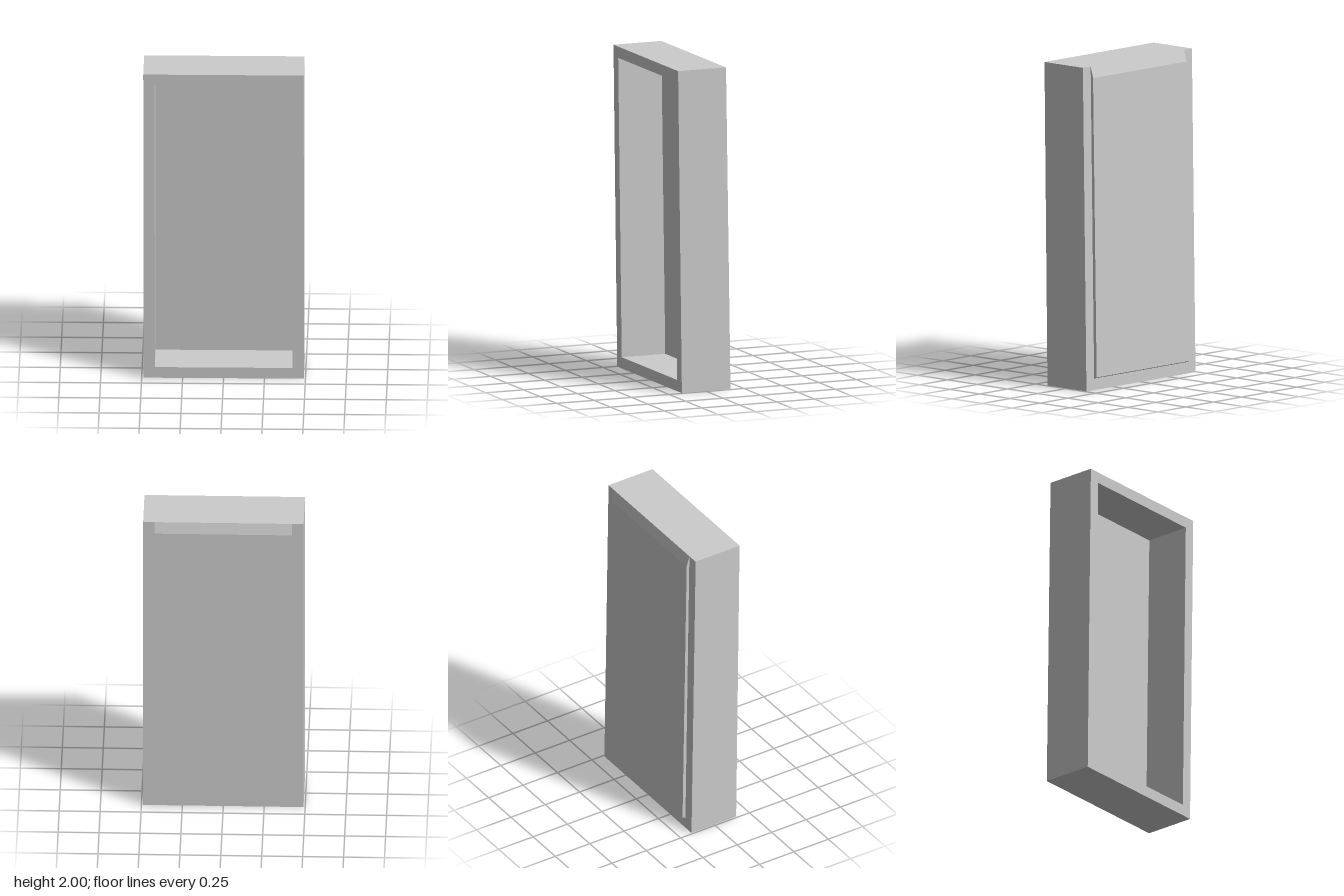
import * as THREE from 'three';

const material = new THREE.MeshStandardMaterial({ color: 0xcccccc, flatShading: true });

function addMesh(group, name, geometry) {
  const mesh = new THREE.Mesh(geometry, material);
  mesh.name = name;
  group.add(mesh);
}

function rectangle(Type, x, y0, y1) {
  return new Type([[-x, y0], [x, y0], [x, y1], [-x, y1]].map(p => new THREE.Vector2(...p)));
}

export function createModel() {
  const group = new THREE.Group();
  group.name = 'shallowTray';

  // Deep rectangular frame, open at the front and leaning slightly forward
  const outline = rectangle(THREE.Shape, 0.49, 0, 2);
  outline.holes.push(rectangle(THREE.Path, 0.42, 0.07, 1.93));
  const frame = new THREE.ExtrudeGeometry(outline, { depth: 1, bevelEnabled: false });
  const pos = frame.attributes.position;
  for (let i = 0; i < pos.count; i++) {
    const lean = pos.getY(i) - 1;
    const back = -0.15 + 0.015 * lean;
    const front = 0.172 + 0.0125 * lean;
    pos.setZ(i, THREE.MathUtils.lerp(back, front, pos.getZ(i)));
  }
  frame.computeVertexNormals();
  addMesh(group, 'frame', frame);

  // Raised back panel with a sloped top edge: side profile (z, y) swept across x
  const profile = new THREE.Shape([
    [-0.13, 0.07], [-0.105, 1.93], [-0.12, 1.93], [-0.135, 2], [-0.155, 1.93], [-0.185, 0.08], [-0.16, 0.07],
  ].map(p => new THREE.Vector2(...p)));
  const panel = new THREE.ExtrudeGeometry(profile, { depth: 0.84, bevelEnabled: false });
  panel.translate(0, 0, -0.42);
  panel.rotateY(-Math.PI / 2);
  addMesh(group, 'backPanel', panel);

  return group;
}
